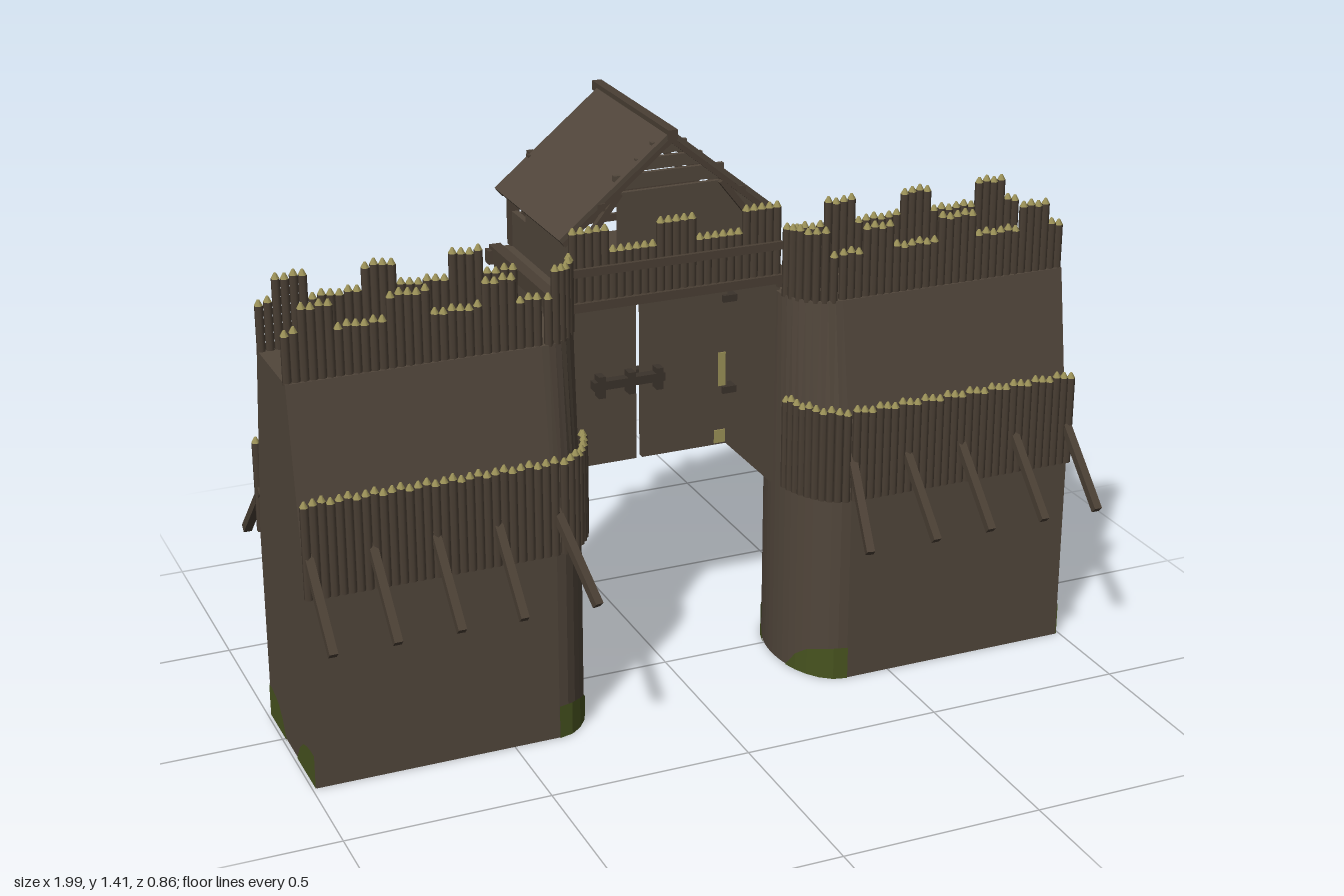
import * as THREE from 'three';
import { mergeGeometries } from 'three/addons/utils/BufferGeometryUtils.js';

const mat = (name, color, side = THREE.FrontSide) => {
  const m = new THREE.MeshStandardMaterial({ color, side });
  m.name = name;
  return m;
};

export function createModel() {
  const root = new THREE.Group();
  root.name = 'woodenGate';
  const timber = mat('timber', 0x51463b, THREE.DoubleSide);
  const logWood = mat('logWood', 0x4a3f34);
  const cutWood = mat('cutWood', 0x9c9258);
  const moss = mat('moss', 0x47531f, THREE.DoubleSide);
  const iron = mat('darkFittings', 0x3b332b);

  const add = (name, geo, m, parent = root) => {
    const mesh = new THREE.Mesh(geo, m);
    mesh.name = name;
    parent.add(mesh);
    return mesh;
  };
  // Box given by its minimum and maximum on each axis
  const box = (name, x0, x1, y0, y1, z0, z1, m = timber) =>
    add(name, new THREE.BoxGeometry(x1 - x0, y1 - y0, z1 - z0)
      .translate((x0 + x1) / 2, (y0 + y1) / 2, (z0 + z1) / 2), m);
  // Square beam between two points
  const beam = (name, a, b, w = 0.018, m = logWood) => {
    const p = new THREE.Vector3(...a), q = new THREE.Vector3(...b);
    const mesh = add(name, new THREE.BoxGeometry(w, w, p.distanceTo(q)), m);
    mesh.position.copy(p).lerp(q, 0.5);
    mesh.lookAt(q);
    return mesh;
  };
  // Row of upright pointed logs; pts are [x, z], top(i, x) is the height
  const palisade = (name, pts, y0, top, r = 0.0105) => {
    const logs = [], tips = [];
    pts.forEach(([x, z], i) => {
      const h = top(i, x) - 0.014;
      logs.push(new THREE.CylinderGeometry(r, r, h - y0, 6).translate(x, (h + y0) / 2, z));
      tips.push(new THREE.CylinderGeometry(0.003, r, 0.014, 6).translate(x, h + 0.007, z));
    });
    const g = new THREE.Group();
    g.name = name;
    add('logs', mergeGeometries(logs), logWood, g);
    add('cutTips', mergeGeometries(tips), cutWood, g);
    root.add(g);
  };
  const triangles = (p) => {
    const g = new THREE.BufferGeometry();
    g.setAttribute('position', new THREE.Float32BufferAttribute(p.flat(), 3));
    g.computeVertexNormals();
    return g;
  };
  // Strip standing on the ground along [x, z] points with given heights
  const strip = (pts, hs) => {
    const t = [];
    for (let i = 0; i < pts.length - 1; i++) {
      const [a, b] = [pts[i], pts[i + 1]];
      const A = [a[0], 0, a[1]], B = [b[0], 0, b[1]];
      const C = [b[0], hs[i + 1], b[1]], D = [a[0], hs[i], a[1]];
      t.push(A, B, C, A, C, D);
    }
    return triangles(t);
  };

  const X1 = 0.99, X0 = 0.385, RX = 0.115;
  // Rounded inner end of a wall, from angle a0 to a1 (0 = inner tip, positive = front)
  const arc = (s, zf, zb, a0, a1, n, off = 0) =>
    new THREE.EllipseCurve(0, 0, RX + off, (zf - zb) / 2 + off, a0, a1, a1 < a0)
      .getSpacedPoints(n).map((p) => [s * (X0 - p.x), (zf + zb) / 2 + p.y]);
  const straight = (s, z, xa, xb, n) =>
    Array.from({ length: n }, (_, i) => [s * (xa + (xb - xa) * i / (n - 1)), z]);
  const H = Math.PI / 2;

  for (const s of [1, -1]) {
    const side = s > 0 ? 'left' : 'right';

    // Wall body: straight below, tapering above, open underneath
    const ring = (y, zf, zb) => {
      const o = [[s * X1, zb], ...arc(s, zf, zb, -H, H, 20), [s * X1, zf]]
        .map(([x, z]) => [x, y, z]);
      return s > 0 ? o : o.reverse();
    };
    const rings = [ring(0, 0.255, -0.13), ring(0.49, 0.255, -0.13), ring(0.98, 0.18, -0.055)];
    const t = [];
    const n = rings[0].length;
    for (let i = 0; i < n; i++) {
      const j = (i + 1) % n;
      for (let k = 0; k < 2; k++) {
        const [a, b, c, d] = [rings[k][i], rings[k][j], rings[k + 1][j], rings[k + 1][i]];
        t.push(a, c, b, a, d, c);
      }
      t.push(rings[2][i], [s * 0.6, 0.98, 0.0625], rings[2][j]);
    }
    add(side + 'Wall', triangles(t), timber);

    // Moss at the foot of the wall
    const hs = [0.085, 0.085, 0.08, 0.07, 0.045, 0];
    add('mossFront', strip(arc(s, 0.255, -0.13, H, 0.35, 5, 0.003), hs), moss);
    add('mossBack', strip(arc(s, 0.255, -0.13, -H, -0.35, 5, 0.003), hs), moss);
    for (const [za, zb] of [[0.255, 0.1], [-0.13, 0.01]])
      add('mossEnd', strip(hs.map((_, i) => [s * (X1 + 0.002), za + (zb - za) * i / 5]), hs), moss);

    // Lower palisades
    const low = (i) => 0.735 + 0.004 * ((i * 7) % 3 - 1);
    palisade('lowerFrontPalisade', [...straight(s, 0.262, 0.985, 0.39, 30),
      ...arc(s, 0.255, -0.13, H, 0.3, 10, 0.008).slice(1)], 0.49, low);
    palisade('lowerBackPalisade', straight(s, -0.14, 0.985, 0.385, 30), 0.49, low);

    // Upper palisades with merlons
    const crown = (i, x) => {
      const a = Math.abs(x);
      const high = [[0.86, 0.945], [0.65, 0.74], [0.44, 0.53], [0.2, 0.345]]
        .some(([p, q]) => a > p && a < q);
      return (high ? 1.163 : 1.107) + 0.003 * ((i * 5) % 3 - 1);
    };
    palisade('upperFrontPalisade', [...straight(s, 0.168, 0.982, 0.39, 30),
      ...arc(s, 0.18, -0.055, H, 0.2, 7, -0.008).slice(1)], 0.975, crown);
    palisade('upperBackPalisade', straight(s, -0.045, 0.982, 0.37, 30), 0.975, crown);

    // Slanted struts
    for (const x of [0.98, 0.83, 0.68, 0.53, 0.385]) {
      const end = x < 0.4 ? 0.35 : x;
      beam('frontStrut', [s * x, 0.6, 0.25], [s * end, 0.425, 0.425], 0.02);
      beam('backStrut', [s * x, 0.6, -0.125], [s * x, 0.425, -0.305], 0.02);
    }

    // Gate passage sides and back posts
    const mx = (name, a, b, ...r) => box(name, Math.min(s * a, s * b), Math.max(s * a, s * b), ...r);
    mx('passageSide', 0.262, 0.28, 0.475, 1, -0.375, 0.05);
    mx('backPost', 0.262, 0.292, 0.465, 1.02, -0.4, -0.37, logWood);
    mx('platformSideBeam', 0.27, 0.3, 0.99, 1.03, -0.41, 0.06, logWood);

    // Door leaf with boards, hinges and worn spots
    mx('doorLeaf', 0.008, 0.24, 0.5, 0.995, -0.185, -0.165);
    for (const y of [0.64, 0.885]) mx('hinge', 0.225, 0.265, y, y + 0.018, -0.19, -0.155, iron);
    mx('doorSpot', 0.205, 0.235, 0.505, 0.54, -0.166, -0.162, cutWood);
    mx('doorSpot', 0.215, 0.235, 0.66, 0.75, -0.166, -0.162, cutWood);
    mx('doorSpotBack', 0.215, 0.235, 0.6, 0.75, -0.188, -0.184, cutWood);

    // Gatehouse side with window opening and posts
    mx('houseSide', 0.235, 0.25, 1.03, 1.19, -0.28, 0.03);
    mx('houseSideSill', 0.235, 0.25, 1.03, 1.12, -0.39, -0.28);
    mx('housePost', 0.23, 0.255, 1.03, 1.2, -0.4, -0.36 - 0.015, logWood);
    mx('houseFrontPost', 0.23, 0.25, 1.03, 1.2, 0.015, 0.035, logWood);

    // Roof slope with edge beams and braces
    const roof = mx('roofSlope', -0.0, 0.363, -0.006, 0.006, -0.4, 0.04);
    roof.position.set(0, 1.402, 0);
    roof.rotation.z = -s * Math.atan2(0.228, 0.28);
    for (const z of [0.03, -0.395]) {
      beam('rafter', [0, 1.39, z], [s * 0.275, 1.165, z], 0.018);
      beam('brace', [s * 0.24, 1.13, z], [s * 0.13, 1.27, z], 0.015);
    }
    beam('purlin', [s * 0.18, 1.245, 0.045], [s * 0.18, 1.245, -0.43], 0.018);
  }

  // Locking bars on both door faces
  for (const [za, zb] of [[-0.165, -0.14], [-0.21, -0.185]]) {
    box('lockBar', -0.13, 0.06, 0.708, 0.73, za, zb, iron);
    for (const x of [-0.11, -0.03, 0.045])
      box('barBracket', x - 0.009, x + 0.009, 0.688, 0.745, za - 0.004, zb + 0.004, iron);
  }

  // Platform floor and its cross beams
  box('platformFloor', -0.28, 0.28, 1.008, 1.025, -0.4, 0.06);
  box('platformBackBeam', -0.31, 0.31, 0.985, 1.02, -0.412, -0.385, logWood);
  box('platformFrontBeam', -0.3, 0.3, 1.008, 1.03, 0.05, 0.082, logWood);
  box('parapetRail', -0.27, 0.27, 1.095, 1.115, 0.074, 0.084, logWood);

  // Front parapet of pointed logs
  palisade('parapet', straight(1, 0.065, -0.262, 0.262, 27), 1.01, (i, x) => {
    const a = Math.abs(x);
    return a > 0.175 || a < 0.053 ? 1.212 : 1.158;
  });

  // Front gable slats
  for (const [y0, y1, w] of [[1.12, 1.268, 0.13], [1.275, 1.31, 0.14], [1.316, 1.345, 0.085], [1.352, 1.38, 0.045]])
    box('gableSlat', -w, w, y0, y1, 0.012, 0.024);

  // Back railing and open gable truss
  for (const y of [1.055, 1.09, 1.125]) box('backRail', -0.25, 0.25, y, y + 0.018, -0.4, -0.388, logWood);
  for (const x of [-0.09, 0.09]) box('railPost', x - 0.009, x + 0.009, 1.02, 1.14, -0.405, -0.385, logWood);
  box('collarBeam', -0.2, 0.2, 1.235, 1.253, -0.404, -0.386, logWood);
  box('kingPost', -0.009, 0.009, 1.24, 1.39, -0.404, -0.386, logWood);
  box('ridgeBeam', -0.012, 0.012, 1.388, 1.412, -0.43, 0.047, logWood);

  return root;
}
